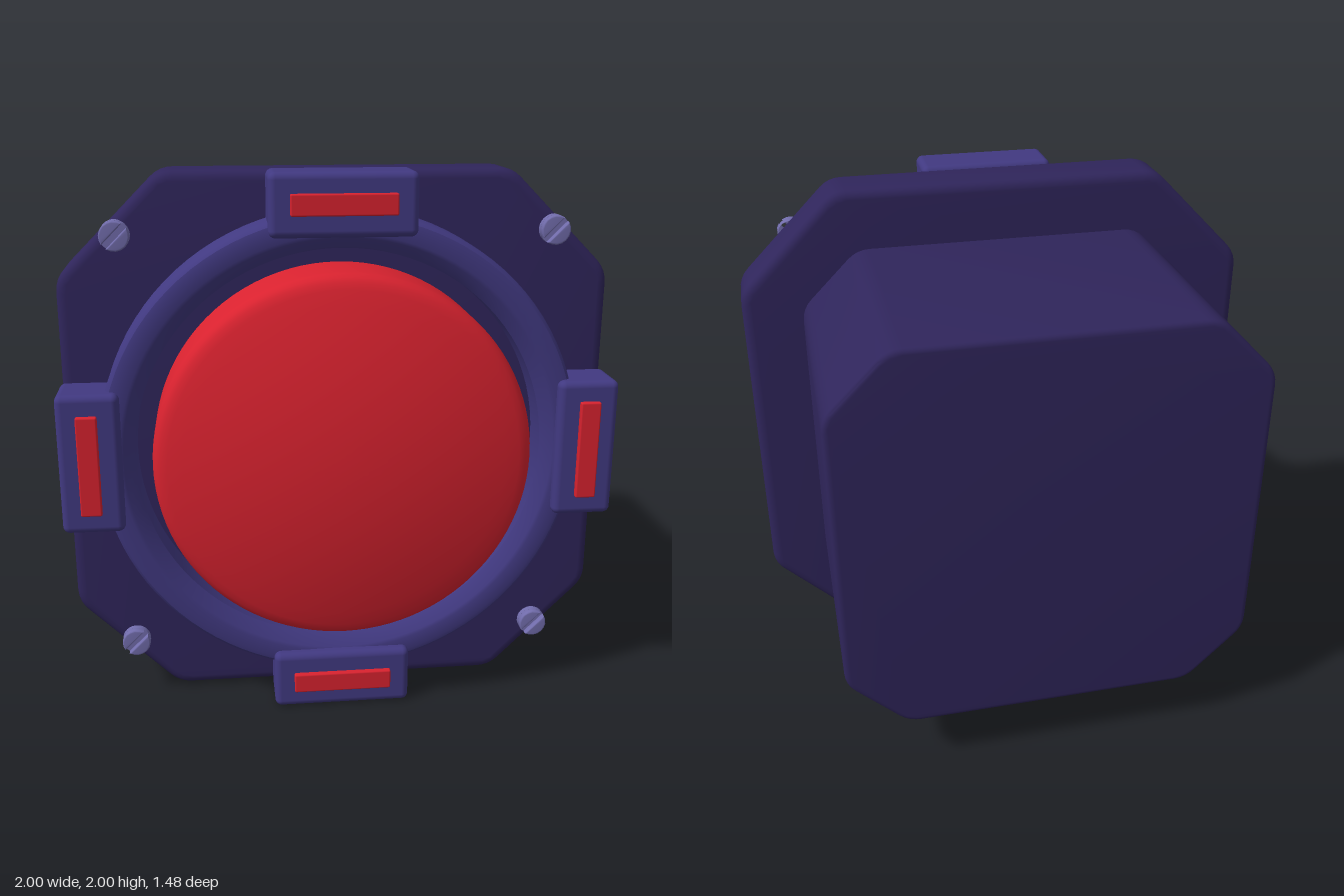
import * as THREE from 'three';
import { toCreasedNormals } from 'three/addons/utils/BufferGeometryUtils.js';
import { RoundedBoxGeometry } from 'three/addons/geometries/RoundedBoxGeometry.js';

const material = (name, color) => new THREE.MeshStandardMaterial({ name, color });

// Square with cut corners, each corner slightly rounded
function octagon(half, cut, round) {
  const k = half - cut;
  const pts = [[half, -k], [half, k], [k, half], [-k, half], [-half, k], [-half, -k], [-k, -half], [k, -half]]
    .map(([x, y]) => new THREE.Vector2(x, y));
  const shape = new THREE.Shape();
  pts.forEach((p, i) => {
    const toward = (q) => p.clone().add(q.clone().sub(p).setLength(round));
    const a = toward(pts[(i + 7) % 8]);
    const b = toward(pts[(i + 1) % 8]);
    if (i === 0) shape.moveTo(a.x, a.y);
    else shape.lineTo(a.x, a.y);
    shape.quadraticCurveTo(p.x, p.y, b.x, b.y);
  });
  shape.closePath();
  return shape;
}

// Bevelled slab between two z values
function slab(shape, z0, z1, bevel) {
  const geo = new THREE.ExtrudeGeometry(shape, {
    depth: z1 - z0 - 2 * bevel, bevelThickness: bevel, bevelSize: bevel,
    bevelOffset: -bevel, bevelSegments: 4, curveSegments: 4,
  });
  geo.translate(0, 0, z0 + bevel);
  return toCreasedNormals(geo, 0.5);
}

// Turned part whose axis points to the front; profile is [radius, z]
function turned(profile, segments) {
  const geo = new THREE.LatheGeometry(profile.map(([r, z]) => new THREE.Vector2(r, z)), segments);
  geo.rotateX(Math.PI / 2);
  return toCreasedNormals(geo, 0.55);
}

export function createModel() {
  const dark = material('dark indigo', 0x2f255b);
  const indigo = material('indigo', 0x413981);
  const red = material('red', 0xd9222f);
  const steel = material('violet steel', 0x716cab);

  const root = new THREE.Group();
  root.name = 'pushButton';
  const model = new THREE.Group();
  model.name = 'assembly';
  model.position.y = 1;
  root.add(model);

  const add = (parent, name, geo, mat) => {
    const mesh = new THREE.Mesh(geo, mat);
    mesh.name = name;
    parent.add(mesh);
    return mesh;
  };

  // Housing and mounting plate
  add(model, 'housing', slab(octagon(0.768, 0.22, 0.05), -0.74, 0.2, 0.02), dark);
  add(model, 'mountingPlate', slab(octagon(0.993, 0.37, 0.05), 0.165, 0.385, 0.035), dark);

  // Collar around the button
  add(model, 'collar', turned([
    [0.868, 0.37], [0.868, 0.505], [0.864, 0.522], [0.853, 0.534], [0.838, 0.538],
    [0.79, 0.538], [0.777, 0.534], [0.737, 0.495], [0.735, 0.37],
  ], 96), indigo);

  // Domed push button
  const profile = [[0.672, 0.37], [0.672, 0.59], [0.669, 0.61], [0.659, 0.63], [0.644, 0.643], [0.62, 0.652]];
  for (let i = 1; i <= 12; i++) {
    const r = 0.62 * (1 - i / 12);
    profile.push([r, 0.742 - 0.09 * (r / 0.62) ** 2]);
  }
  add(model, 'buttonCap', turned(profile, 96), red);

  // Four clamps with red inserts
  for (let i = 0; i < 4; i++) {
    const clamp = new THREE.Group();
    clamp.name = 'clamp';
    clamp.rotation.z = i * Math.PI / 2;
    add(clamp, 'clampBlock', new RoundedBoxGeometry(0.51, 0.22, 0.195, 4, 0.025), indigo).position.set(0, 0.89, 0.478);
    add(clamp, 'clampInsert', new RoundedBoxGeometry(0.364, 0.074, 0.06, 2, 0.006), red).position.set(0, 0.893, 0.565);
    model.add(clamp);
  }

  // Slotted corner screws
  const base = turned([[0.053, 0.37], [0.053, 0.406], [0, 0.406]], 28);
  const half = new THREE.Shape();
  half.absarc(0, 0, 0.053, 0.2, Math.PI - 0.2, false);
  half.closePath();
  const headHalf = slab(half, 0.4, 0.43, 0.006);
  for (const x of [-1, 1]) for (const y of [-1, 1]) {
    const screw = new THREE.Group();
    screw.name = 'screw';
    screw.position.set(x * 0.777, y * 0.777, 0);
    screw.rotation.z = Math.PI / 4;
    add(screw, 'screwBase', base, steel);
    add(screw, 'screwHeadUpper', headHalf, steel);
    add(screw, 'screwHeadLower', headHalf, steel).rotation.z = Math.PI;
    model.add(screw);
  }
  return root;
}
